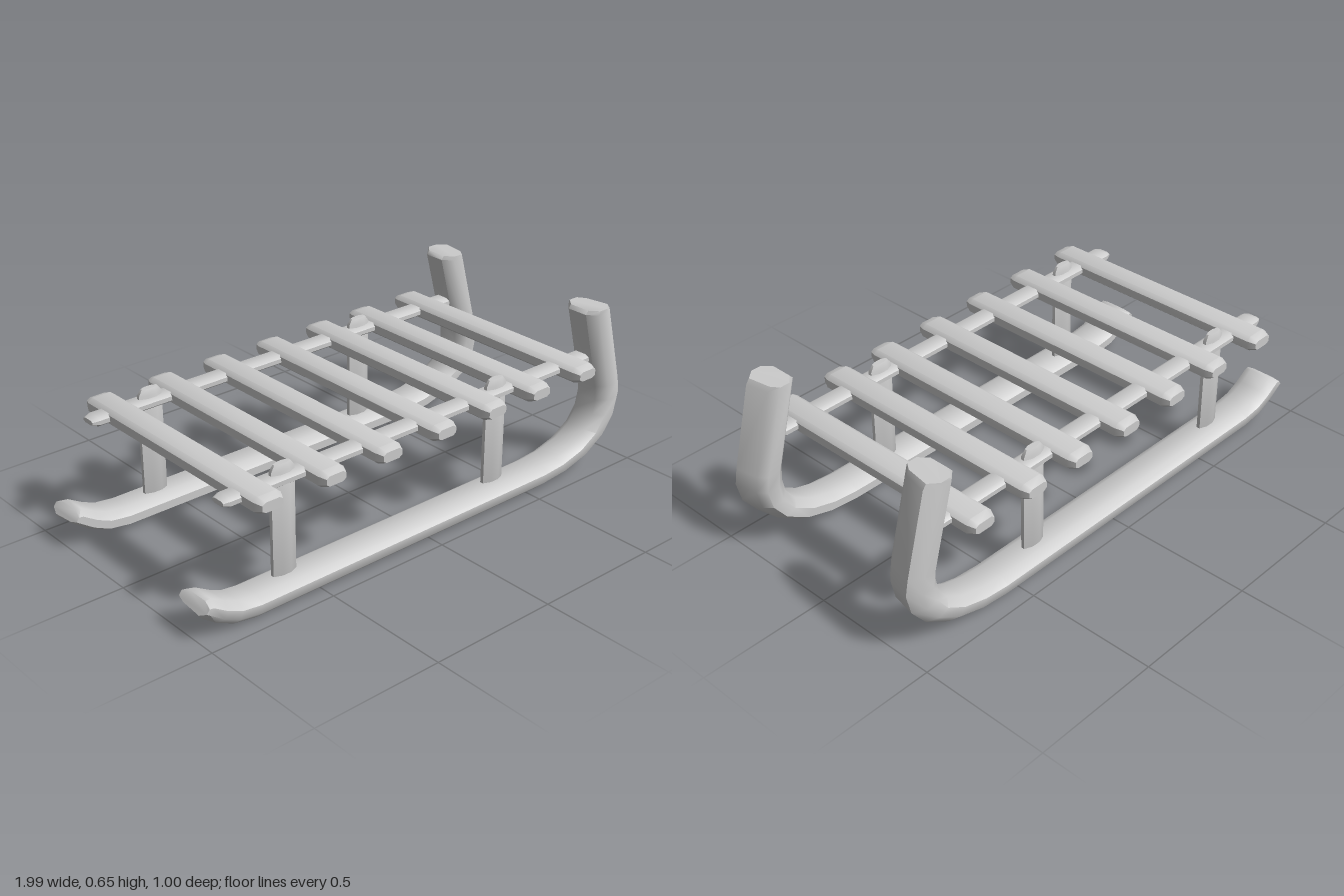
import * as THREE from 'three';
import { toCreasedNormals } from 'three/addons/utils/BufferGeometryUtils.js';

const material = new THREE.MeshStandardMaterial({ color: 0xcccccc });

// Skins a list of equal-length rings of Vector3 and caps both ends; faces always point outward.
function loft(rings, crease) {
  const n = rings[0].length, tris = [];
  for (let r = 0; r < rings.length - 1; r++) {
    for (let i = 0; i < n; i++) {
      const j = (i + 1) % n, A = rings[r], B = rings[r + 1];
      tris.push([A[i], A[j], B[j]], [A[i], B[j], B[i]]);
    }
  }
  const first = rings[0], last = rings[rings.length - 1];
  for (let i = 1; i < n - 1; i++) {
    tris.push([first[0], first[i + 1], first[i]], [last[0], last[i], last[i + 1]]);
  }
  const volume = tris.reduce((s, [a, b, c]) => s + a.dot(b.clone().cross(c)), 0);
  const points = tris.flatMap(([a, b, c]) => (volume > 0 ? [a, b, c] : [a, c, b]));
  return toCreasedNormals(new THREE.BufferGeometry().setFromPoints(points), crease);
}

// Bar along z with chamfered edges (ca, cb) and tapered ends of length t.
function bar(length, a, b, ca, cb, t, endA, endB) {
  const section = [[a, b - cb], [a - ca, b], [ca - a, b], [-a, b - cb],
    [-a, cb - b], [ca - a, -b], [a - ca, -b], [a, cb - b]];
  const h = length / 2;
  const stations = [[-h, endA, endB], [t - h, 1, 1], [h - t, 1, 1], [h, endA, endB]];
  return loft(stations.map(([z, sx, sy]) =>
    section.map(([x, y]) => new THREE.Vector3(x * sx, y * sy, z))), 0.7);
}

// Runner side profile: [outer x, outer y, inner x, inner y], back tip to front horn
const PROFILE = [
  [-0.995, 0.105, -0.965, 0.145], [-0.985, 0.09, -0.945, 0.147], [-0.93, 0.05, -0.89, 0.115],
  [-0.86, 0.017, -0.84, 0.094], [-0.77, 0.003, -0.765, 0.085],
  [0.57, 0.003, 0.57, 0.085], [0.7, 0.015, 0.66, 0.093], [0.82, 0.05, 0.75, 0.116],
  [0.92, 0.113, 0.82, 0.157], [0.98, 0.19, 0.857, 0.21], [0.999, 0.27, 0.868, 0.265],
  [0.988, 0.33, 0.862, 0.325], [0.907, 0.635, 0.778, 0.64], [0.893, 0.654, 0.79, 0.654],
];
// Runner section: [sideways offset, blend from outer to inner]
const SECTION = [[0.075, 0.34], [0.045, 0], [-0.045, 0.14], [-0.075, 0.34],
  [-0.075, 0.72], [-0.042, 1], [0.042, 1], [0.075, 0.72]];

function runner(zCentre, side) {
  return loft(PROFILE.map(([ox, oy, ix, iy]) => SECTION.map(([z, t]) =>
    new THREE.Vector3(ox + (ix - ox) * t, oy + (iy - oy) * t, zCentre + side * z))), 0.9);
}

export function createModel() {
  const sled = new THREE.Group();
  sled.name = 'sled';
  const add = (name, geometry, x = 0, y = 0, z = 0) => {
    const mesh = new THREE.Mesh(geometry, material);
    mesh.name = name;
    mesh.position.set(x, y, z);
    sled.add(mesh);
    return mesh;
  };

  // Curved runners with upturned horns
  add('leftRunner', runner(0.385, 1));
  add('rightRunner', runner(-0.373, -1));

  // Seat slats across the sled
  const slat = bar(1, 0.055, 0.03, 0.018, 0.014, 0.03, 0.75, 0.62);
  [-0.745, -0.485, -0.24, 0.01, 0.255, 0.48, 0.725].forEach((x) => add('slat', slat, x, 0.44, 0));

  // Rails under the slats, and posts standing on the runners
  const rail = bar(1.72, 0.038, 0.018, 0.014, 0.01, 0.025, 0.75, 0.5).rotateY(Math.PI / 2);
  const post = bar(0.455, 0.048, 0.019, 0.03, 0.012, 0.022, 0.68, 0.6).rotateX(-Math.PI / 2);
  for (const z of [0.375, -0.37]) {
    add('seatRail', rail, -0.005, 0.442, z);
    for (const x of [-0.61, 0.367]) add('post', post, x, 0.267, z);
  }
  return sled;
}
